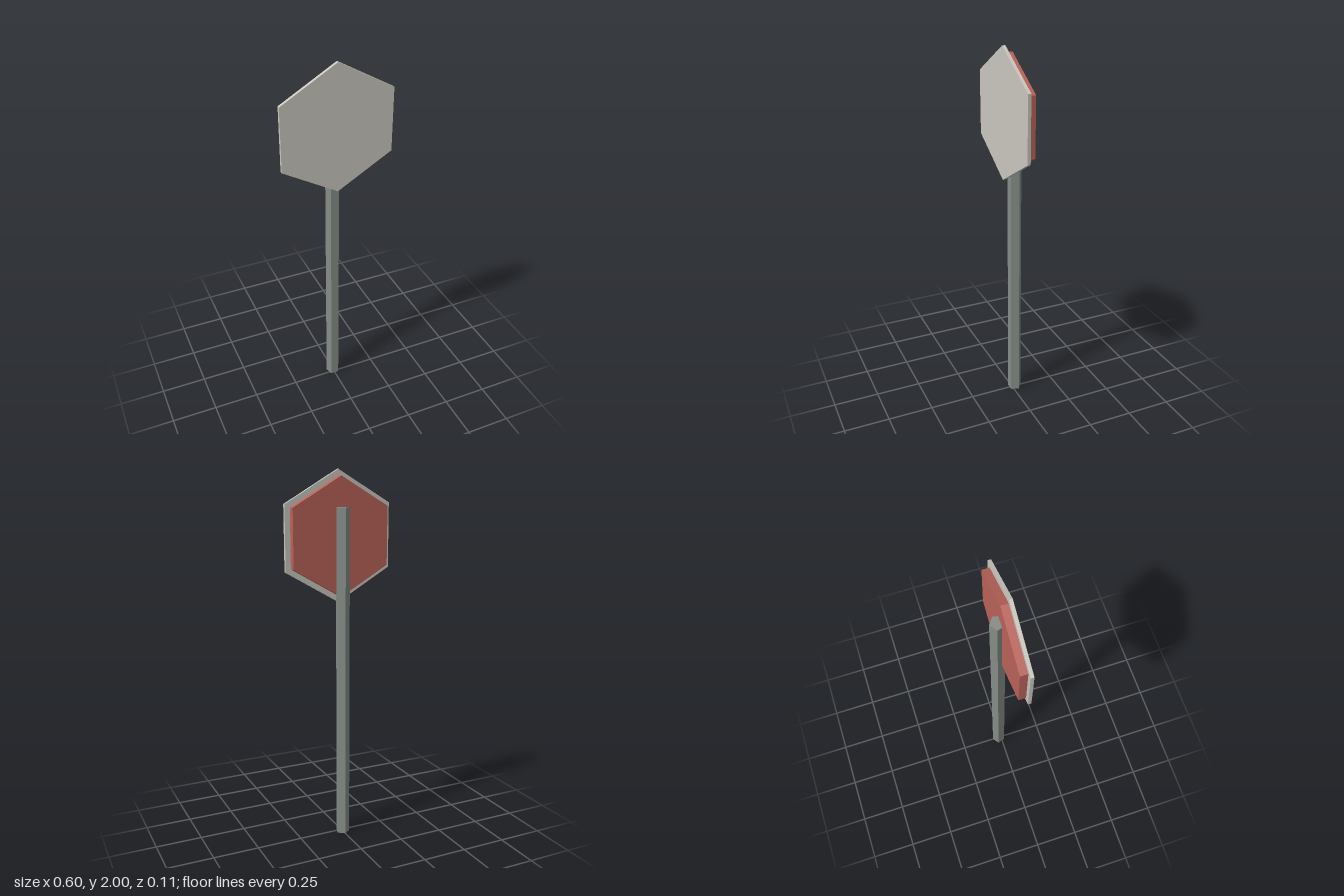
import * as THREE from 'three';

const flat = (name, color) => {
  const m = new THREE.MeshStandardMaterial({ color, flatShading: true });
  m.name = name;
  return m;
};

export function createModel() {
  const group = new THREE.Group();
  group.name = 'roadSign';
  const add = (name, geometry, material) => {
    const mesh = new THREE.Mesh(geometry, material);
    mesh.name = name;
    group.add(mesh);
  };

  // Upright hexagonal slab with a corner at the top, spanning z0 to z1
  const hexSlab = (radius, z0, z1) =>
    new THREE.CylinderGeometry(radius, radius, z1 - z0, 6)
      .rotateX(Math.PI / 2)
      .translate(0, 1.656, (z0 + z1) / 2);

  // Five-sided post with one edge pointing backwards
  const postHeight = 1.81;
  const post = new THREE.CylinderGeometry(0.0385, 0.0385, postHeight, 5)
    .rotateY(Math.PI)
    .translate(0, postHeight / 2, -0.0155);
  add('post', post, flat('greyMetal', 0x858d87));

  // Red backing board and the larger pale face plate
  add('backingBoard', hexSlab(0.311, -0.003, 0.035), flat('red', 0xb9635a));
  add('facePlate', hexSlab(0.344, 0.035, 0.052), flat('paleGrey', 0xc9c7bf));

  return group;
}
